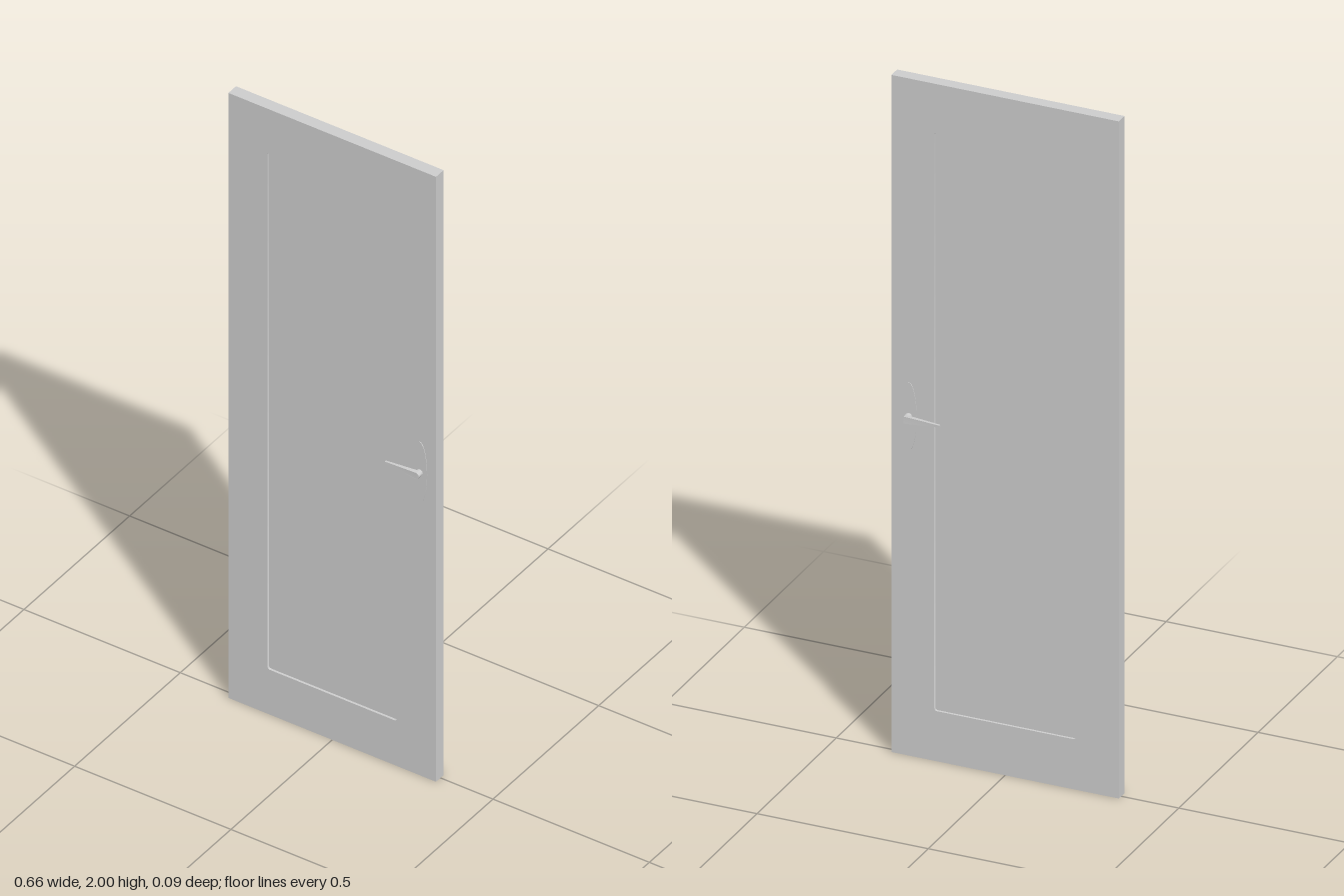
import * as THREE from 'three';
import { toCreasedNormals } from 'three/addons/utils/BufferGeometryUtils.js';

const W = 0.664, H = 2, FRONT = 0.021, BACK = -0.015, RECESS = 0.007;
const HANDLE_X = 0.281, HANDLE_Y = 1.003, LEVER = 0.101, R = 0.0102;
const material = new THREE.MeshStandardMaterial({ color: 0xcccccc });

function part(name, geometry, parent) {
  const mesh = new THREE.Mesh(geometry, material);
  mesh.name = name;
  parent.add(mesh);
  return mesh;
}

function roundedRect(path, x0, y0, x1, y1, r) {
  path.moveTo(x0 + r, y0);
  path.lineTo(x1 - r, y0);
  path.absarc(x1 - r, y0 + r, r, -Math.PI / 2, 0);
  path.lineTo(x1, y1 - r);
  path.absarc(x1 - r, y1 - r, r, 0, Math.PI / 2);
  path.lineTo(x0 + r, y1);
  path.absarc(x0 + r, y1 - r, r, Math.PI / 2, Math.PI);
  path.lineTo(x0, y0 + r);
  path.absarc(x0 + r, y0 + r, r, Math.PI, Math.PI * 1.5);
  return path;
}

// Lever: rounded at the spindle, tapering in height and thickness to the tip
function leverGeometry(reach) {
  const shape = new THREE.Shape();
  shape.moveTo(-LEVER, -0.003);
  shape.lineTo(0, -R);
  shape.absarc(0, 0, R, -Math.PI / 2, Math.PI / 2);
  shape.lineTo(-LEVER, 0.003);
  shape.closePath();
  const g = new THREE.ExtrudeGeometry(shape, { depth: 1, bevelEnabled: false, curveSegments: 16 });
  const p = g.attributes.position;
  for (let i = 0; i < p.count; i++) {
    const t = Math.min(1, Math.max(0, -p.getX(i) / LEVER));
    const inner = THREE.MathUtils.lerp(reach - 0.0125, reach - 0.0095, t);
    const outer = THREE.MathUtils.lerp(reach, reach - 0.0035, t);
    p.setZ(i, THREE.MathUtils.lerp(inner, outer, p.getZ(i)));
  }
  return toCreasedNormals(g, 0.6);
}

// Oval plate, spindle and lever, standing on a face of the door
function makeHandle(name, z, reach) {
  const handle = new THREE.Group();
  handle.name = name;

  const oval = new THREE.Shape().absellipse(0, 0, 0.023, 0.1, 0, Math.PI * 2);
  const plate = new THREE.ExtrudeGeometry(oval, { depth: 0.002, bevelEnabled: false, curveSegments: 32 });
  part('plate', toCreasedNormals(plate, 0.6), handle);

  const spindle = new THREE.CylinderGeometry(R, R, reach - 0.002, 32);
  spindle.rotateX(Math.PI / 2).translate(0, 0, reach / 2 - 0.001);
  part('spindle', spindle, handle);

  part('lever', leverGeometry(reach), handle);
  handle.position.set(HANDLE_X, HANDLE_Y, z);
  return handle;
}

export function createModel() {
  const door = new THREE.Group();
  door.name = 'door';

  // Frame with an opening for the panel
  const outline = new THREE.Shape();
  outline.moveTo(-W / 2, 0);
  outline.lineTo(W / 2, 0);
  outline.lineTo(W / 2, H);
  outline.lineTo(-W / 2, H);
  outline.closePath();
  outline.holes.push(roundedRect(new THREE.Path(), -0.207, 0.148, 0.207, 1.857, 0.008));
  const frame = new THREE.ExtrudeGeometry(outline, { depth: FRONT - BACK, bevelEnabled: false, curveSegments: 6 });
  frame.translate(0, 0, BACK);
  part('frame', toCreasedNormals(frame, 0.6), door);

  // Panel set back from both faces
  const panel = new THREE.BoxGeometry(0.43, 1.725, FRONT - BACK - 2 * RECESS);
  part('panel', panel, door).position.set(0, 1.0025, (FRONT + BACK) / 2);

  // Handles on both faces, the back one turned over about x
  door.add(makeHandle('frontHandle', FRONT, 0.021));
  const back = makeHandle('backHandle', BACK, 0.028);
  back.rotation.x = Math.PI;
  door.add(back);

  return door;
}
